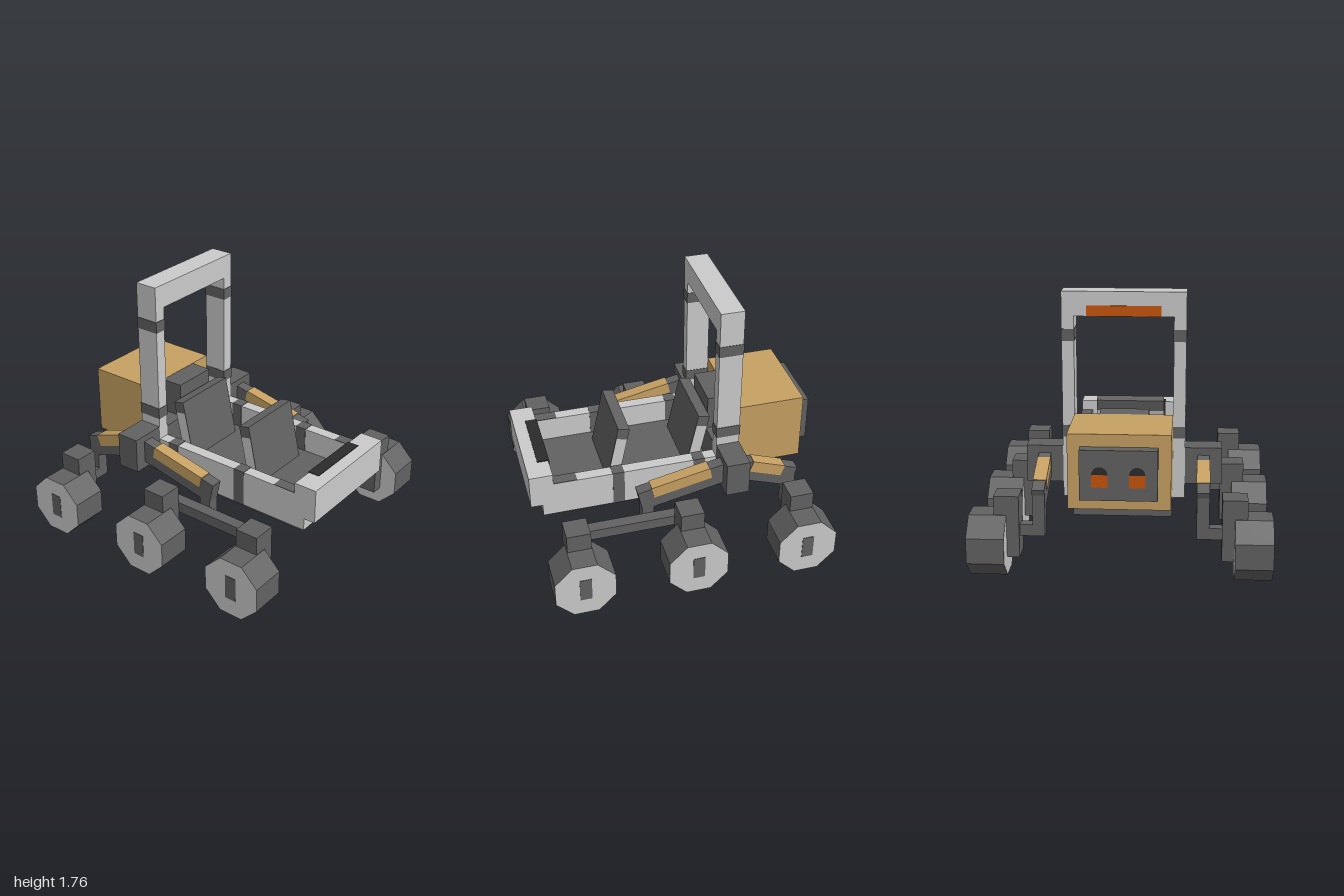
import * as THREE from 'three';

function mat(name, color) {
  const m = new THREE.MeshStandardMaterial({ color, flatShading: true });
  m.name = name;
  return m;
}

export function createModel() {
  const light = mat('light grey', 0xcbcbcb);
  const dark = mat('dark grey', 0x626262);
  const tan = mat('tan', 0xc7a163);
  const orange = mat('orange', 0xc8540c);
  const black = mat('near black', 0x2b2b2b);

  const root = new THREE.Group();
  root.name = 'sixWheeledRover';

  // Box given by its extents on each axis
  function box(name, m, [x0, x1], [y0, y1], [z0, z1], parent = root) {
    const mesh = new THREE.Mesh(new THREE.BoxGeometry(Math.abs(x1 - x0), y1 - y0, z1 - z0), m);
    mesh.position.set((x0 + x1) / 2, (y0 + y1) / 2, (z0 + z1) / 2);
    mesh.name = name;
    parent.add(mesh);
    return mesh;
  }
  // Box on the centre line
  const mid = (name, m, w, y, z) => box(name, m, [-w, w], y, z);
  // Box centred on a point and tilted about x
  function tilted(name, m, size, pos, angle, parent) {
    const mesh = new THREE.Mesh(new THREE.BoxGeometry(...size), m);
    mesh.position.set(...pos);
    mesh.rotation.x = angle;
    mesh.name = name;
    parent.add(mesh);
    return mesh;
  }

  // Chassis
  mid('underPan', dark, 0.32, [0.325, 0.4], [-0.6, 0.84]);
  mid('floor', dark, 0.32, [0.4, 0.48], [-0.28, 0.84]);
  mid('rearFloor', light, 0.32, [0.4, 0.48], [-0.6, -0.44]);
  mid('rearBulkhead', dark, 0.32, [0.4, 0.72], [-0.44, -0.28]);
  mid('bulkheadBlock', dark, 0.16, [0.72, 0.963], [-0.44, -0.29]);
  mid('frontBumper', light, 0.4, [0.487, 0.725], [0.84, 1]);
  mid('frontIntake', dark, 0.24, [0.4, 0.487], [0.84, 0.915]);

  // Dashboard on the bumper's inner edge
  mid('dashboardTop', black, 0.24, [0.722, 0.729], [0.835, 0.915]);
  mid('dashboardPanel', black, 0.24, [0.58, 0.725], [0.833, 0.841]);
  box('tanScreen', tan, [0.1, 0.18], [0.61, 0.68], [0.829, 0.836]);
  box('orangeScreen', orange, [-0.15, -0.07], [0.61, 0.68], [0.829, 0.836]);

  // Two reclined seats
  for (const z of [0.363, -0.197]) {
    const seat = new THREE.Group();
    seat.name = 'seat';
    seat.position.set(0, 0.675, z);
    seat.rotation.x = -0.21;
    root.add(seat);
    box('seatShell', light, [-0.24, 0.24], [-0.21, 0.13], [-0.04, 0.035], seat);
    box('seatPad', dark, [-0.24, 0.24], [-0.21, 0.13], [0.035, 0.04], seat);
    box('headrest', dark, [-0.24, 0.24], [0.13, 0.21], [-0.04, 0.04], seat);
  }

  // Roll bar top with its rear lamp
  mid('rollBarTop', light, 0.4, [1.605, 1.765], [-0.44, -0.28]);
  mid('rearLamp', orange, 0.24, [1.607, 1.675], [-0.446, -0.438]);

  // Cargo box with a rear light panel
  mid('cargoBox', tan, 0.32, [0.483, 0.965], [-0.92, -0.44]);
  mid('rearPanel', dark, 0.24, [0.565, 0.885], [-0.995, -0.92]);

  const wheelGeo = new THREE.CylinderGeometry(0.2 / Math.cos(Math.PI / 8), 0.2 / Math.cos(Math.PI / 8),
    0.24, 8, 1, false, Math.PI / 8);
  wheelGeo.rotateZ(Math.PI / 2);

  for (const s of [1, -1]) {
    const side = new THREE.Group();
    side.name = s > 0 ? 'leftSide' : 'rightSide';
    root.add(side);
    const sb = (name, m, [x0, x1], y, z) => box(name, m, [s * x0, s * x1], y, z, side);

    // Side rails and their dark bands
    sb('sideRail', light, [0.32, 0.4], [0.4, 0.65], [-0.44, 0.84]);
    sb('frontCorner', light, [0.24, 0.4], [0.4, 0.487], [0.84, 0.92]);
    for (const z of [-0.2, 0.36]) sb('railBand', dark, [0.317, 0.403], [0.4, 0.653], [z, z + 0.08]);
    sb('railTopPlate', dark, [0.32, 0.4], [0.648, 0.654], [0.68, 0.835]);

    // Roll bar post and bands
    sb('rollBarPost', light, [0.32, 0.4], [0.48, 1.605], [-0.44, -0.28]);
    for (const y of [0.807, 1.445]) sb('postBand', dark, [0.317, 0.403], [y, y + 0.078], [-0.443, -0.277]);

    // Suspension hub and rocker arms
    sb('suspensionHub', dark, [0.4, 0.64], [0.5, 0.745], [-0.44, -0.28]);
    const x = s * 0.52;
    tilted('frontArm', dark, [0.08, 0.15, 0.62], [x, 0.567, -0.01], 0.209, side);
    tilted('frontArmCover', tan, [0.086, 0.082, 0.41], [x, 0.606, 0.006], 0.209, side);
    tilted('rearArm', dark, [0.08, 0.15, 0.4], [x, 0.558, -0.6], -0.345, side);
    tilted('rearArmCover', tan, [0.086, 0.082, 0.24], [x, 0.602, -0.594], -0.345, side);

    // Links from the arms to the wheels
    sb('frontLink', dark, [0.48, 0.56], [0.325, 0.55], [0.2, 0.28]);
    sb('bogieBar', dark, [0.56, 0.64], [0.325, 0.4], [-0.04, 0.76]);
    sb('rearLink', dark, [0.48, 0.56], [0.25, 0.54], [-0.8, -0.725]);
    sb('rearAxle', dark, [0.56, 0.64], [0.25, 0.325], [-0.8, -0.725]);

    // Wheels with steering brackets
    for (const z of [0.76, 0, -0.76]) {
      const wheel = new THREE.Mesh(wheelGeo, [dark, light, light]);
      wheel.name = 'wheel';
      wheel.position.set(s * 0.84, 0.2, z);
      side.add(wheel);
      sb('wheelHubMark', dark, [0.957, 0.963], [0.12, 0.288], [z - 0.04, z + 0.04]);
      sb('bracketTop', dark, [0.64, 0.8], [0.4, 0.525], [z - 0.08, z + 0.08]);
      sb('bracketLeg', dark, [0.64, 0.72], [0.12, 0.4], [z - 0.08, z + 0.08]);
    }

    // Tail lights: dark rounded cap over an orange lens
    const cap = new THREE.Mesh(new THREE.CircleGeometry(0.05, 12, 0, Math.PI), black);
    cap.name = 'tailLightCap';
    cap.rotation.y = Math.PI;
    cap.position.set(s * 0.115, 0.73, -0.999);
    side.add(cap);
    sb('tailLightLens', orange, [0.065, 0.165], [0.65, 0.73], [-0.999, -0.993]);
  }
  return root;
}
